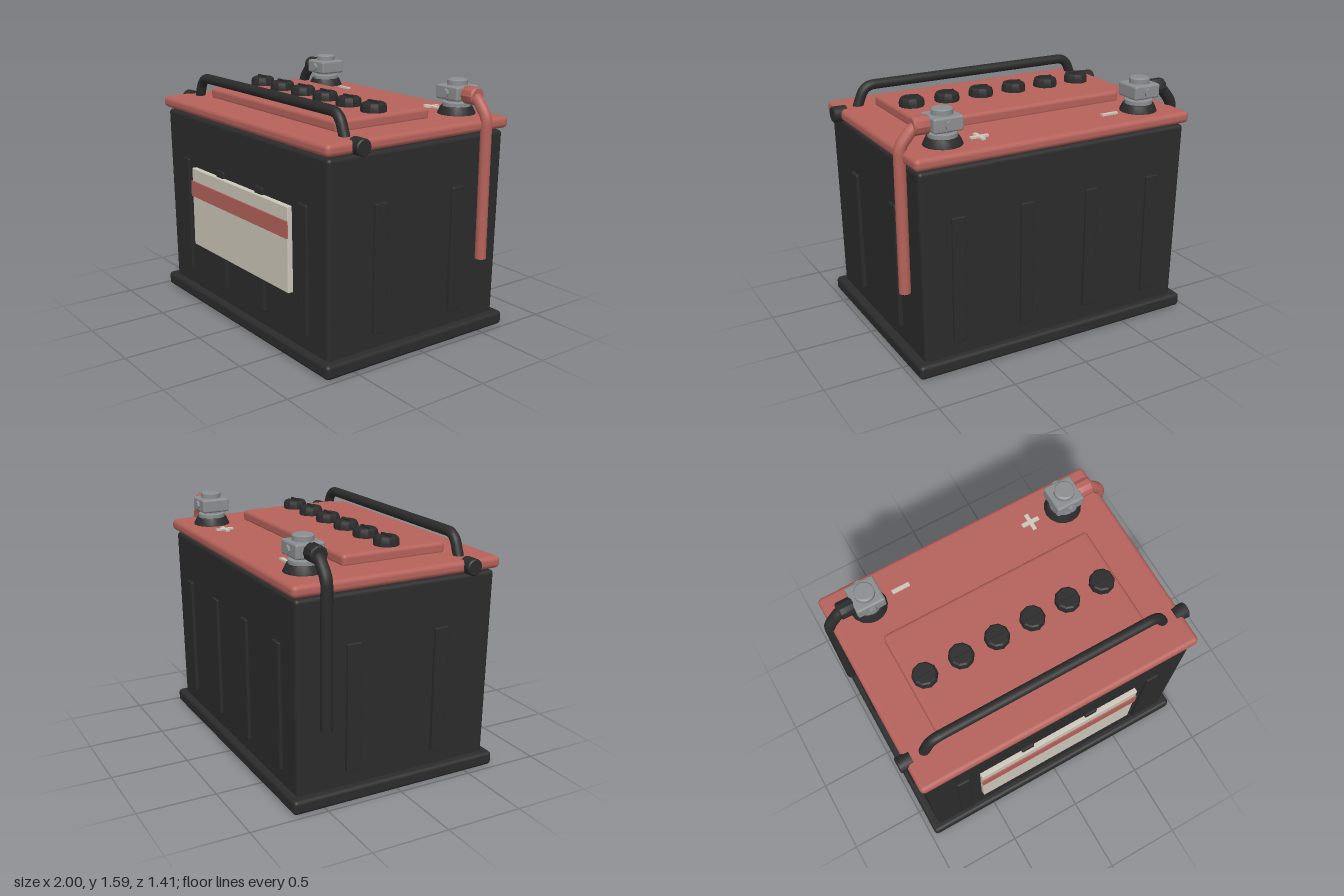
import * as THREE from 'three';
import { RoundedBoxGeometry } from 'three/addons/geometries/RoundedBoxGeometry.js';
import { toCreasedNormals } from 'three/addons/utils/BufferGeometryUtils.js';

const mat = (name, color) => new THREE.MeshStandardMaterial({ name, color });

export function createModel() {
  const black = mat('black plastic', 0x2b2b2b);
  const red = mat('dull red', 0xb5625a);
  const cream = mat('cream', 0xcdc7ba);
  const grey = mat('lead grey', 0x8b8e90);

  const model = new THREE.Group();
  model.name = 'carBattery';

  function add(name, geometry, material, x = 0, y = 0, z = 0, parent = model) {
    const mesh = new THREE.Mesh(geometry, material);
    mesh.name = name;
    mesh.position.set(x, y, z);
    parent.add(mesh);
    return mesh;
  }
  // Box given by its size, bottom height and rounding radius
  function slab(name, w, h, d, r, material, x, y, z, parent) {
    const g = r ? new RoundedBoxGeometry(w, h, d, 3, r) : new THREE.BoxGeometry(w, h, d);
    return add(name, g, material, x, y + h / 2, z, parent);
  }
  // Turned part with crisp edges; profile is a list of [radius, height]
  function turned(points, sides, crease = 0.6) {
    const g = new THREE.LatheGeometry(points.map(([r, y]) => new THREE.Vector2(r, y)), sides);
    return toCreasedNormals(g, crease);
  }
  // Path of straight runs with rounded bends
  function bentPath(points, bend) {
    const v = points.map((p) => new THREE.Vector3(...p));
    const path = new THREE.CurvePath();
    let from = v[0];
    for (let i = 1; i < v.length - 1; i++) {
      const a = v[i].clone().add(v[i - 1].clone().sub(v[i]).setLength(bend));
      const b = v[i].clone().add(v[i + 1].clone().sub(v[i]).setLength(bend));
      path.add(new THREE.LineCurve3(from, a));
      path.add(new THREE.QuadraticBezierCurve3(a, v[i], b));
      from = b;
    }
    path.add(new THREE.LineCurve3(from, v[v.length - 1]));
    return path;
  }

  // Case: foot, slightly tapered body and lid
  slab('baseFoot', 1.94, 0.09, 1.41, 0.025, black, 0, 0, 0);
  const body = new RoundedBoxGeometry(1.86, 1.24, 1.34, 3, 0.025);
  const p = body.attributes.position;
  for (let i = 0; i < p.count; i++) {
    const k = 1 - 0.015 * (0.5 - p.getY(i) / 1.24);
    p.setX(i, p.getX(i) * k);
    p.setZ(i, p.getZ(i) * k);
  }
  add('body', body, black, 0, 0.67, 0);
  slab('bodyNeck', 1.8, 0.06, 1.28, 0, black, 0, 1.26, 0);
  slab('lid', 1.91, 0.075, 1.39, 0.03, red, 0, 1.303, 0);
  slab('lidPanel', 1.43, 0.08, 0.71, 0.025, red, 0, 1.363, 0.1);

  // Stiffening ribs on all four walls
  for (const s of [-1, 1]) {
    for (const x of [-0.69, -0.23, 0.23, 0.69]) slab('wallRib', 0.085, 0.8, 0.06, 0.006, black, x, 0.187, s * 0.653);
    for (const z of [-0.298, 0.298]) slab('sideRib', 0.06, 0.8, 0.093, 0.006, black, s * 0.915, 0.187, z);
  }

  // Front label with stripe
  slab('label', 1.14, 0.535, 0.04, 0.006, cream, 0, 0.41, 0.678);
  slab('labelStripe', 1.145, 0.106, 0.009, 0, red, 0, 0.752, 0.702);

  // Six filler caps with a raised grip bar
  const capGeometry = turned([[0, 0], [0.08, 0], [0.08, 0.03], [0.074, 0.05], [0.064, 0.058], [0, 0.058]], 10, 0.3);
  for (let i = 0; i < 6; i++) {
    const x = (i - 2.5) * 0.244;
    add('fillerCap', capGeometry, black, x, 1.44, 0.1);
    slab('capGrip', 0.095, 0.012, 0.016, 0, black, x, 1.497, 0.1);
  }

  // Carrying handle and its pivots
  const handlePath = bentPath([
    [-0.835, 1.34, 0.478], [-0.77, 1.505, 0.478], [0.77, 1.505, 0.478], [0.835, 1.34, 0.478],
  ], 0.07);
  add('handle', new THREE.TubeGeometry(handlePath, 120, 0.033, 12), black);
  const pivotGeometry = turned([[0, 0], [0.052, 0], [0.052, 0.085], [0.045, 0.092], [0, 0.092]], 12);
  for (const s of [-1, 1]) {
    add('handlePivot', pivotGeometry, black, s * 0.908, 1.343, 0.475).rotation.z = -s * Math.PI / 2;
  }

  // Terminals, clamps and cables
  const skirt = turned([[0, 0], [0.12, 0], [0.118, 0.012], [0.098, 0.052], [0, 0.052]], 16);
  const post = turned([[0, 0], [0.088, 0], [0.088, 0.028], [0.065, 0.034], [0.065, 0.165], [0.055, 0.172], [0, 0.172]], 16);
  const bolt = toCreasedNormals(new THREE.CylinderGeometry(0.028, 0.028, 0.22, 8), 0.5);
  const sleeve = turned([[0, 0], [0.048, 0], [0.056, 0.015], [0.056, 0.1], [0.048, 0.11], [0, 0.11]], 10);
  for (const s of [-1, 1]) {
    const terminal = new THREE.Group();
    terminal.name = s > 0 ? 'positiveTerminal' : 'negativeTerminal';
    terminal.position.set(s * 0.692, 0, -0.498);
    model.add(terminal);
    const cableColour = s > 0 ? red : black;
    add('terminalSkirt', skirt, black, 0, 1.374, 0, terminal);
    add('terminalPost', post, grey, 0, 1.422, 0, terminal);
    slab('clamp', 0.19, 0.09, 0.185, 0.014, grey, 0, 1.468, 0, terminal);
    add('clampBolt', bolt, grey, 0, 1.512, 0.003, terminal).rotation.x = Math.PI / 2;
    add('cableSleeve', sleeve, cableColour, s * 0.078, 1.508, 0.006, terminal).rotation.z = -s * Math.PI / 2;
    const cablePath = bentPath([
      [s * 0.12, 1.508, 0.006], [s * 0.18, 1.5, 0.006], [s * 0.268, 1.395, 0.006], [s * 0.268, 0.495, 0.006],
    ], 0.045);
    add('cable', new THREE.TubeGeometry(cablePath, 80, 0.036, 12), cableColour, 0, 0, 0, terminal);
    const end = add('cableEnd', new THREE.CircleGeometry(0.036, 12), cableColour, s * 0.268, 0.495, 0.006, terminal);
    end.rotation.x = Math.PI / 2;
  }

  // Raised polarity marks
  slab('minusMark', 0.118, 0.017, 0.026, 0, cream, -0.468, 1.373, -0.5);
  slab('plusMarkBar', 0.118, 0.017, 0.026, 0, cream, 0.457, 1.373, -0.5);
  for (const s of [-1, 1]) slab('plusMarkArm', 0.026, 0.017, 0.046, 0, cream, 0.457, 1.373, -0.5 + s * 0.036);

  return model;
}
